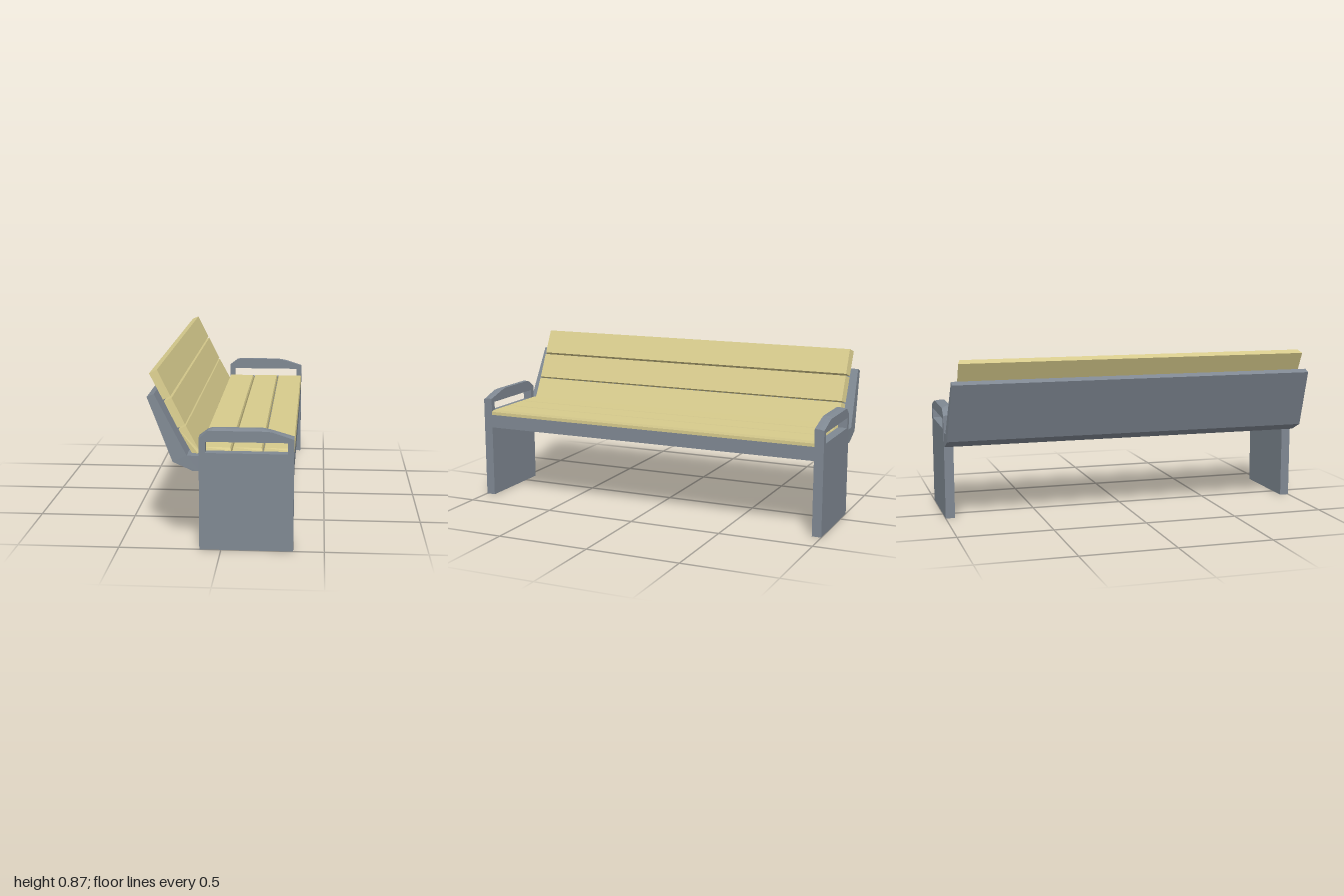
import * as THREE from 'three';

const metal = new THREE.MeshStandardMaterial({ color: 0x7f8892, flatShading: true });
const wood = new THREE.MeshStandardMaterial({ color: 0xd6ca8c, flatShading: true });

// Extrudes an x/y outline from z0 to z1; edit(v) may then shift each vertex.
function prism(name, points, z0, z1, material, { edit, hole, steps = 1 } = {}) {
  const toVectors = (list) => list.map(([x, y]) => new THREE.Vector2(x, y));
  const shape = new THREE.Shape(toVectors(points));
  if (hole) shape.holes.push(new THREE.Path(toVectors(hole)));
  const geometry = new THREE.ExtrudeGeometry(shape, { depth: z1 - z0, bevelEnabled: false, steps });
  geometry.translate(0, 0, z0);
  if (edit) {
    const pos = geometry.attributes.position;
    const v = new THREE.Vector3();
    for (let i = 0; i < pos.count; i++) {
      v.fromBufferAttribute(pos, i);
      edit(v);
      pos.setXYZ(i, v.x, v.y, v.z);
    }
    geometry.computeVertexNormals();
  }
  const mesh = new THREE.Mesh(geometry, material);
  mesh.name = name;
  return mesh;
}

export function createModel() {
  const bench = new THREE.Group();
  bench.name = 'bench';

  // End panels: leg and armrest in one, with a hand slot and a sloped outer top edge
  const panel = [[-0.105, 0], [0.35, 0], [0.35, 0.56], [0.24, 0.592], [0.2, 0.6],
    [-0.04, 0.6], [-0.063, 0.592], [-0.105, 0.56]];
  const slot = [[-0.075, 0.483], [-0.075, 0.538], [0.32, 0.538], [0.32, 0.483]];
  const slopeOuterEdge = (v) => {
    if (Math.abs(v.z) < 0.99) return;
    if (v.y > 0.595) v.y = 0.592;
    else if (v.y > 0.585) v.y = 0.59;
    else if (v.y > 0.55) v.y = 0.554;
  };
  for (const [name, z0, z1] of [['leftEndPanel', 0.95, 1], ['rightEndPanel', -1, -0.95]]) {
    bench.add(prism(name, panel, z0, z1, metal, { edit: slopeOuterEdge, hole: slot, steps: 2 }));
  }

  // Solid seat base between the panels
  bench.add(prism('seatBase', [[-0.105, 0.395], [0.35, 0.395], [0.35, 0.468], [-0.105, 0.468]],
    -0.95, 0.95, metal));

  // Back support, narrowing slightly towards its top
  const support = [[-0.105, 0.393], [-0.105, 0.468], [-0.162, 0.468], [-0.318, 0.763],
    [-0.352, 0.748], [-0.23, 0.437], [-0.135, 0.394]];
  bench.add(prism('backSupport', support, -1, 1, metal, {
    edit: (v) => { v.z *= 1 - 0.046 * Math.max(0, v.y - 0.437); },
  }));

  // Seat slats with chamfered top edges
  const seat = new THREE.Group();
  seat.name = 'seatSlats';
  const c = 0.005;
  for (const [x0, x1] of [[-0.105, 0.046], [0.051, 0.197], [0.202, 0.35]]) {
    const slat = [[x0, 0.468], [x1, 0.468], [x1, 0.485], [x1 - c, 0.497], [x0 + c, 0.497], [x0, 0.485]];
    seat.add(prism('seatSlat', slat, -0.95, 0.95, wood, {
      edit: (v) => { if (v.y > 0.49) v.z -= Math.sign(v.z) * 0.012; },
    }));
  }
  bench.add(seat);

  // Leaning back planks, with ends chamfered towards the front face
  const back = new THREE.Group();
  back.name = 'backPlanks';
  const planks = [
    [[-0.344, 0.855], [-0.279, 0.728], [-0.245, 0.744], [-0.308, 0.871]],
    [[-0.275, 0.721], [-0.211, 0.592], [-0.176, 0.606], [-0.239, 0.735]],
    [[-0.206, 0.585], [-0.142, 0.468], [-0.114, 0.468], [-0.105, 0.475], [-0.172, 0.599]],
  ];
  for (const plank of planks) {
    back.add(prism('backPlank', plank, -0.95, 0.95, wood, {
      edit: (v) => { if (0.88 * v.x + 0.467 * v.y > 0.122) v.z -= Math.sign(v.z) * 0.012; },
    }));
  }
  bench.add(back);

  return bench;
}
